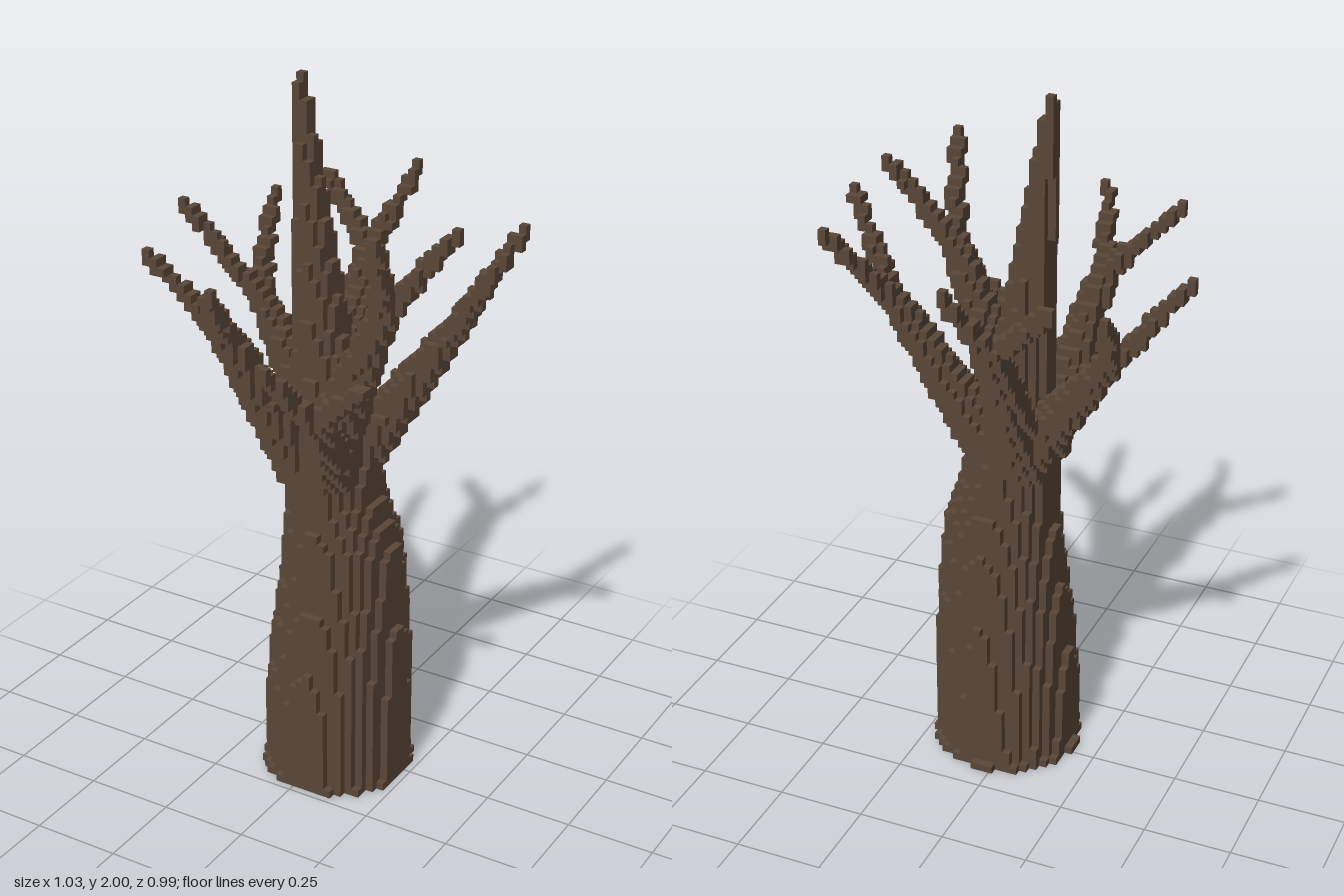
import * as THREE from 'three';

const S = 2 / 91; // voxel edge
const HX = 23, NY = 91, HZ = 22; // grid half-widths and height in voxels

// Trunk cross-sections: y, centre x, centre z, radius
const trunkRings = [
  [0, 0.03, 0.03, 0.217], [0.022, 0.03, 0.03, 0.2], [0.2, 0.033, 0.035, 0.197], [0.45, 0.04, 0.03, 0.184],
  [0.6, 0.043, 0.025, 0.167], [0.73, 0.045, 0.03, 0.155], [0.86, 0.025, 0.034, 0.13],
  [1.0, 0.01, 0.035, 0.122], [1.22, -0.01, 0.04, 0.06],
];

// Each limb: start, fork, fork radius, then paths from the fork to the twig tips
const limbs = {
  backBranch: { start: [-0.03, 0.95, -0.02], fork: [-0.09, 1.42, -0.34],
    tips: [[[-0.015, 1.63, -0.484]], [[-0.27, 1.6, -0.4]]] },
  rightBranch: { start: [-0.02, 0.95, -0.02], fork: [-0.29, 1.3, -0.105],
    tips: [[[-0.506, 1.57, -0.045]], [[-0.34, 1.4, -0.18], [-0.375, 1.55, -0.31]]] },
  leftBranch: { start: [0.06, 0.96, 0], fork: [0.33, 1.36, -0.035],
    tips: [[[0.506, 1.61, 0.085]], [[0.44, 1.61, -0.22]]] },
  frontLeftHighBranch: { start: [0.03, 1.02, 0.08], fork: [0.24, 1.47, 0.16],
    tips: [[[0.42, 1.7, 0.115]], [[0.31, 1.73, 0.33]]] },
  frontLeftLowBranch: { start: [0.05, 0.95, 0.1], fork: [0.13, 1.19, 0.31],
    tips: [[[0.085, 1.39, 0.484]], [[0.285, 1.34, 0.34]]] },
  frontRightBranch: { start: [-0.04, 0.95, 0.09], fork: [-0.13, 1.38, 0.32],
    tips: [[[-0.075, 1.56, 0.484]], [[-0.33, 1.59, 0.37]]] },
};

function insideTrunk(x, y, z) {
  for (let i = 0; i + 1 < trunkRings.length; i++) {
    const a = trunkRings[i], b = trunkRings[i + 1];
    if (y > b[0]) continue;
    const t = (y - a[0]) / (b[0] - a[0]);
    const [, cx, cz, r] = a.map((v, k) => v + (b[k] - v) * t);
    return Math.hypot(x - cx, z - cz) <= r;
  }
  return false;
}

// Test for a tapering round-ended rod from a to b
function taper(a, b, ra, rb) {
  const A = new THREE.Vector3(...a), d = new THREE.Vector3(...b).sub(A);
  const p = new THREE.Vector3();
  return (x, y, z) => {
    p.set(x, y, z).sub(A);
    const t = THREE.MathUtils.clamp(p.dot(d) / d.lengthSq(), 0, 1);
    return p.addScaledVector(d, -t).length() <= ra + (rb - ra) * t;
  };
}

function limbTest({ start, fork, tips }) {
  const rods = [taper(start, fork, 0.075, 0.034)];
  for (const path of tips) {
    let from = fork, r = 0.03;
    path.forEach((to, i) => {
      const next = i === path.length - 1 ? 0.015 : 0.023;
      rods.push(taper(from, to, r, next));
      from = to;
      r = next;
    });
  }
  return (x, y, z) => rods.some((rod) => rod(x, y, z));
}

// The six faces of a voxel: outward normal n and in-plane axes u, v with u x v = n
const faces = [];
for (let axis = 0; axis < 3; axis++) {
  for (const sign of [1, -1]) {
    const n = [0, 0, 0], u = [0, 0, 0], v = [0, 0, 0];
    n[axis] = sign;
    u[(axis + 1) % 3] = 1;
    v[(axis + 2) % 3] = sign;
    faces.push({ n, u, v });
  }
}

export function createModel() {
  const tree = new THREE.Group();
  tree.name = 'bareTree';
  const bark = new THREE.MeshStandardMaterial({ color: 0x5a4738 });

  const parts = [
    ['trunk', insideTrunk],
    ['topLeader', taper([0.01, 1.0, 0.04], [-0.11, 1.99, -0.015], 0.1, 0.013)],
    ...Object.entries(limbs).map(([name, limb]) => [name, limbTest(limb)]),
  ];

  // Give every filled voxel to the first part that contains it
  const filled = new Set();
  const key = (i, j, k) => `${i},${j},${k}`;
  const cells = parts.map(() => []);
  for (let i = -HX; i <= HX; i++) {
    for (let j = 0; j < NY; j++) {
      for (let k = -HZ; k <= HZ; k++) {
        const owner = parts.findIndex(([, test]) => test(i * S, (j + 0.5) * S, k * S));
        if (owner < 0) continue;
        filled.add(key(i, j, k));
        cells[owner].push([i, j, k]);
      }
    }
  }

  // Skin each part with only its exposed voxel faces
  parts.forEach(([name], index) => {
    const position = [], normal = [], triangles = [];
    for (const [i, j, k] of cells[index]) {
      const centre = [i, j + 0.5, k];
      for (const { n, u, v } of faces) {
        if (filled.has(key(i + n[0], j + n[1], k + n[2]))) continue;
        const first = position.length / 3;
        for (const [a, b] of [[-1, -1], [1, -1], [1, 1], [-1, 1]]) {
          position.push(...centre.map((c, m) => (c + (n[m] + a * u[m] + b * v[m]) / 2) * S));
          normal.push(...n);
        }
        triangles.push(first, first + 1, first + 2, first, first + 2, first + 3);
      }
    }
    const geometry = new THREE.BufferGeometry();
    geometry.setAttribute('position', new THREE.Float32BufferAttribute(position, 3));
    geometry.setAttribute('normal', new THREE.Float32BufferAttribute(normal, 3));
    geometry.setIndex(triangles);
    const mesh = new THREE.Mesh(geometry, bark);
    mesh.name = name;
    tree.add(mesh);
  });
  return tree;
}
